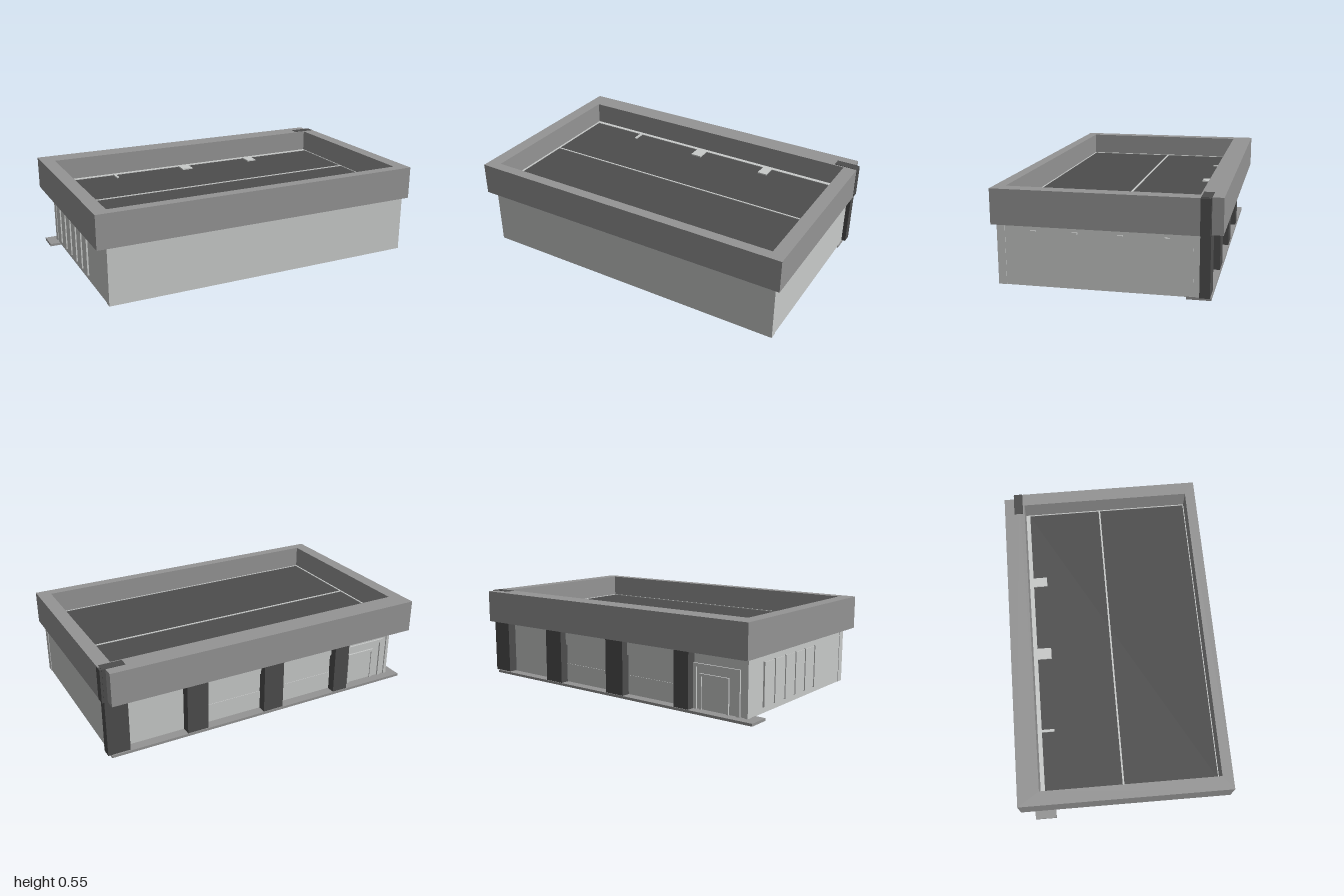
import * as THREE from 'three';

const material = (name, color) => {
  const m = new THREE.MeshStandardMaterial({ color });
  m.name = name;
  return m;
};

export function createModel() {
  const model = new THREE.Group();
  model.name = 'shopBuilding';
  const light = material('lightWall', 0xc8cac9);
  const mid = material('parapetGrey', 0x949494);
  const dark = material('darkGrey', 0x4d4d4d);

  // Box given by its lower and upper limits on each axis
  const box = (name, mat, x0, x1, y0, y1, z0, z1) => {
    const mesh = new THREE.Mesh(new THREE.BoxGeometry(x1 - x0, y1 - y0, z1 - z0), mat);
    mesh.position.set((x0 + x1) / 2, (y0 + y1) / 2, (z0 + z1) / 2);
    mesh.name = name;
    model.add(mesh);
    return mesh;
  };

  // Floor and walls
  box('floor', light, -0.93, 0.96, 0.012, 0.02, -0.49, 0.585);
  box('frontWall', light, -0.94, 0.97, 0.012, 0.412, 0.545, 0.59);
  box('backWall', light, -0.94, 0.965, 0.012, 0.412, -0.5, -0.465);
  box('rightWall', light, 0.915, 0.967, 0.012, 0.412, -0.465, 0.545);
  box('leftWall', light, -0.937, -0.91, 0.012, 0.412, -0.465, 0.545);

  // Roof deck with ridge strip and beam ends
  box('roofDeck', dark, -0.91, 0.915, 0.39, 0.408, -0.465, 0.545);
  box('roofStrip', light, -0.91, 0.915, 0.4, 0.412, -0.013, -0.003);
  for (const [x0, x1, z1] of [[-0.55, -0.535, -0.39], [-0.09, -0.02, -0.38], [0.4, 0.46, -0.38]])
    box('beamEnd', light, x0, x1, 0.4, 0.416, -0.465, z1);

  // Parapet ring, notched at one rear corner (shape y becomes -z)
  const ring = new THREE.Shape([
    [-1, -0.612], [1, -0.612], [1, 0.52], [0.97, 0.52], [0.97, 0.615], [-1, 0.615],
  ].map(([x, y]) => new THREE.Vector2(x, y)));
  ring.holes.push(new THREE.Path([
    [-0.92, -0.55], [-0.92, 0.49], [0.92, 0.49], [0.92, -0.55],
  ].map(([x, y]) => new THREE.Vector2(x, y))));
  const parapet = new THREE.Mesh(
    new THREE.ExtrudeGeometry(ring, { depth: 0.195, bevelEnabled: false }), mid);
  parapet.rotation.x = -Math.PI / 2;
  parapet.position.y = 0.35;
  parapet.name = 'parapet';
  model.add(parapet);

  // Walkway along the shopfront
  box('walkway', mid, -1, 0.97, 0, 0.015, -0.56, -0.43);

  // Shopfront pillars; the corner one rises through the parapet
  box('cornerPillar', dark, 0.86, 0.99, 0.018, 0.547, -0.555, -0.5);
  box('cornerPillarSide', dark, 0.968, 1.002, 0.35, 0.545, -0.553, -0.5);
  for (const [x0, x1] of [[0.38, 0.51], [-0.12, 0.01], [-0.59, -0.49]])
    box('pillar', dark, x0, x1, 0.015, 0.352, -0.555, -0.498);

  // Window bays: header panel and thin glazing below it
  for (const [x0, x1] of [[0.01, 0.38], [-0.49, -0.12]]) {
    box('windowHeader', light, x0, x1, 0.25, 0.35, -0.512, -0.5);
    box('windowPane', light, x0, x1, 0.03, 0.13, -0.503, -0.5);
  }

  // Door bay: outer surround, frame and leaf
  const frame = (name, x0, x1, y1, w, z) => {
    box(name + 'Top', light, x0, x1, y1 - w, y1, z, -0.5);
    box(name + 'Side', light, x0, x0 + w, 0.015, y1 - w, z, -0.5);
    box(name + 'Side', light, x1 - w, x1, 0.015, y1 - w, z, -0.5);
  };
  frame('doorSurround', -0.89, -0.59, 0.27, 0.02, -0.51);
  frame('doorFrame', -0.82, -0.63, 0.215, 0.014, -0.51);
  box('doorLeaf', light, -0.806, -0.644, 0.02, 0.201, -0.504, -0.5);
  box('cornerStrip', light, -0.94, -0.92, 0.015, 0.35, -0.508, -0.5);

  // Left side: row of upright panels divided by ribs
  for (let i = 0; i < 5; i++) {
    const z = -0.35 + i * 0.113;
    box('sidePanel', light, -0.941, -0.937, 0.05, 0.29, z + 0.012, z + 0.108);
  }
  for (let i = 0; i < 6; i++) {
    const z = -0.35 + i * 0.113;
    box('sideRib', light, -0.947, -0.937, 0.045, 0.295, z - 0.005, z + 0.005);
  }

  // Right side: small wall vents
  for (const z of [0.388, 0.16, -0.083, -0.33])
    box('wallVent', light, 0.96, 0.978, 0.314, 0.323, z - 0.014, z + 0.014);

  // Dark strips set in the underside of the floor
  const strip = (x0, x1, z0, z1) => box('floorStrip', dark, x0, x1, 0.009, 0.013, z0, z1);
  for (const z of [0.29, 0.04, -0.22])
    for (const [x0, x1] of [[0.11, 0.69], [-0.55, 0.03]]) strip(x0, x1, z - 0.03, z + 0.03);
  strip(0.86, 0.9, -0.4, 0.55);
  strip(-0.07, 0.54, 0.5, 0.54);
  strip(-0.7, -0.08, 0.5, 0.54);
  strip(0.49, 0.81, -0.425, -0.395);

  return model;
}
